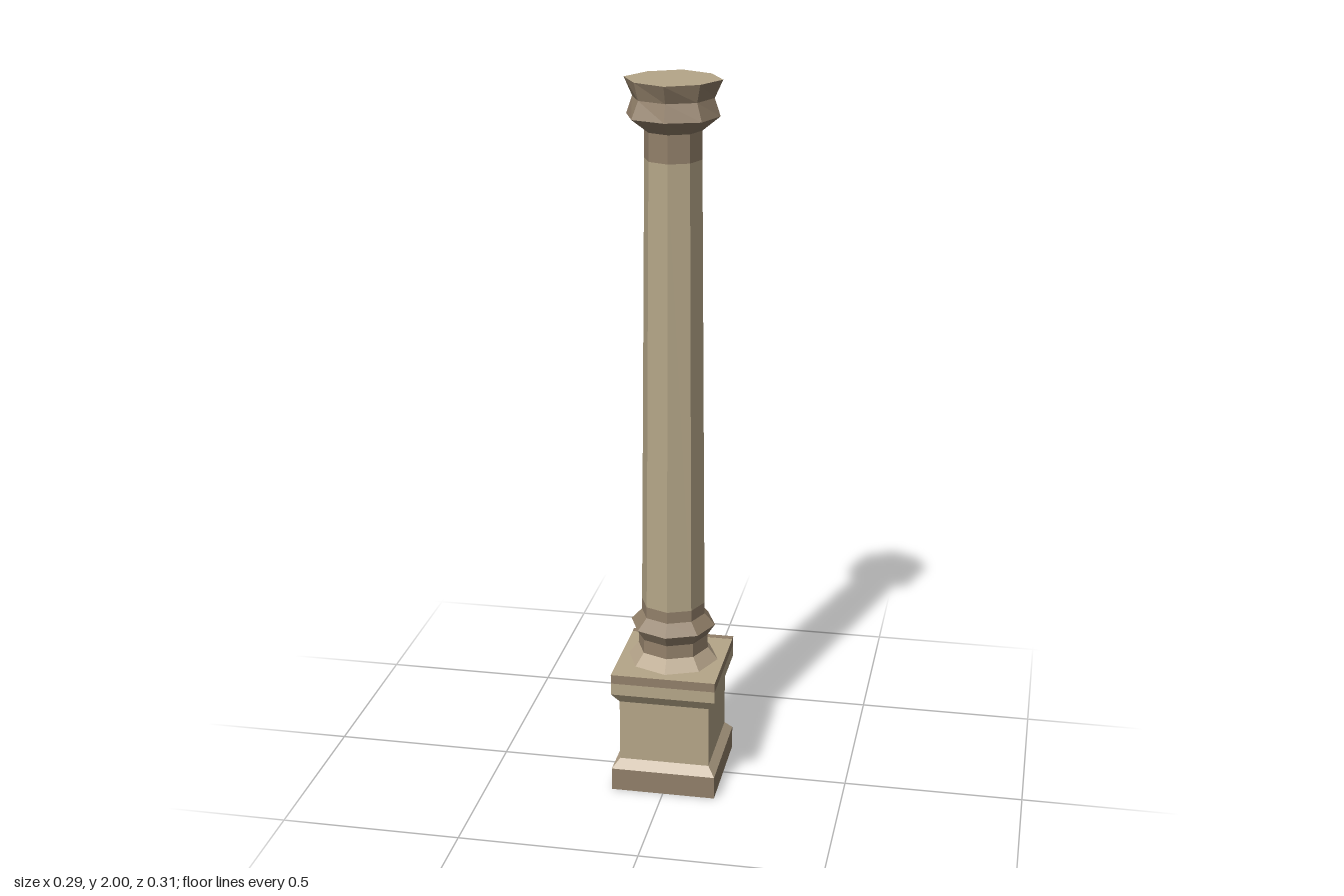
import * as THREE from 'three';

const material = (name, color) => {
  const m = new THREE.MeshStandardMaterial({ color });
  m.name = name;
  return m;
};

export function createModel() {
  const group = new THREE.Group();
  const stone = material('tan stone', 0xb5a688);
  const dark = material('weathered stone', 0x917f69);
  const worn = material('worn stone', 0xb6a48a);

  // Faceted ring stack: rows are [y, corner radius, optional diagonal corner radius]
  const turned = (name, rows, mat, sides = 8, depth = 1) => {
    const profile = rows.map(([y, r]) => new THREE.Vector2(r, y));
    const geo = new THREE.LatheGeometry(profile, sides, sides === 4 ? Math.PI / 4 : 0);
    const pos = geo.attributes.position;
    for (let i = 0; i < pos.count; i++) {
      const [, r, diagonal = r] = rows[i % rows.length];
      const column = Math.floor(i / rows.length);
      const k = sides === 8 && column % 2 && r > 0 ? diagonal / r : 1;
      pos.setXYZ(i, pos.getX(i) * k, pos.getY(i), pos.getZ(i) * k * depth);
    }
    const flat = geo.toNonIndexed();
    flat.computeVertexNormals();
    const mesh = new THREE.Mesh(flat, mat);
    mesh.name = name;
    group.add(mesh);
  };

  // Rectangular pedestal: rows are [y, half width]
  const block = (name, rows, mat) =>
    turned(name, rows.map(([y, w]) => [y, w * Math.SQRT2]), mat, 4, 1.07);

  block('plinthFoot', [[0, 0], [0, 0.147], [0.065, 0.147]], dark);
  block('footBevel', [[0.065, 0.147], [0.09, 0.127]], worn);
  block('pedestalBody', [[0.09, 0.127], [0.268, 0.127]], stone);
  block('pedestalCornice', [[0.268, 0.127], [0.298, 0.147], [0.332, 0.147]], stone);
  block('corniceEdge', [[0.332, 0.147], [0.358, 0.147]], dark);
  block('pedestalTop', [[0.358, 0.147], [0.358, 0]], stone);

  // Weathered strip along the back of the pedestal top
  const strip = new THREE.Mesh(new THREE.BoxGeometry(0.294, 0.002, 0.018), dark);
  strip.position.set(0, 0.358, -0.148);
  strip.name = 'backStrip';
  group.add(strip);

  // Column base moulding
  turned('baseFlare', [[0.358, 0.128], [0.393, 0.1]], worn);
  turned('baseRing', [[0.393, 0.1], [0.432, 0.098], [0.465, 0.12], [0.497, 0.09]], dark);

  // Tapered shaft with darker ends
  turned('shaftFoot', [[0.497, 0.09], [0.53, 0.0895]], dark);
  turned('shaft', [[0.53, 0.0895], [1.79, 0.0777]], stone);
  turned('shaftNeck', [[1.79, 0.0777], [1.866, 0.077]], dark);

  // Capital
  turned('capital', [[1.866, 0.077], [1.905, 0.125, 0.13], [1.952, 0.109], [2, 0.131, 0.122]], dark);
  turned('capitalTop', [[2, 0.131, 0.122], [2, 0]], stone);

  return group;
}
